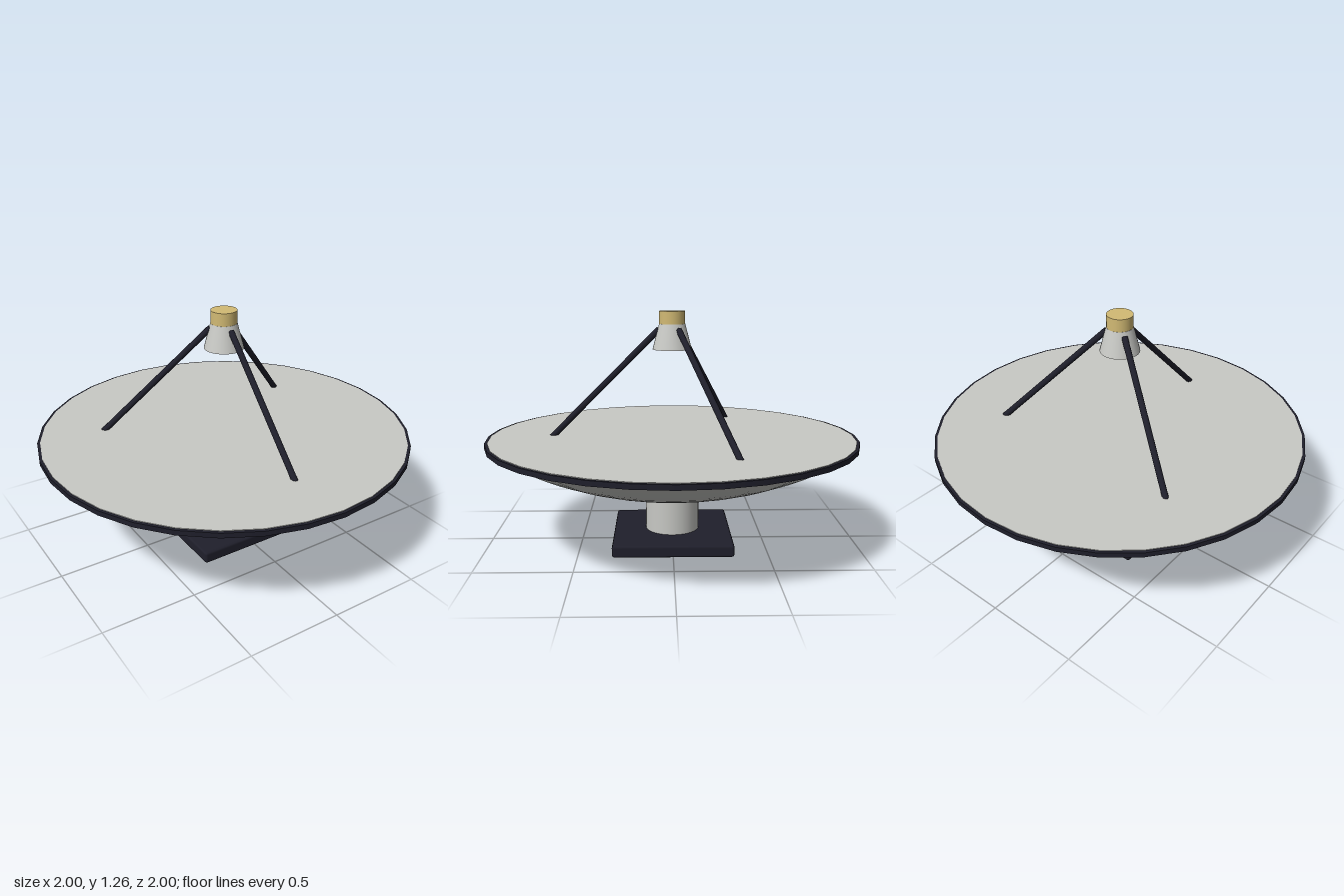
import * as THREE from 'three';
import { RoundedBoxGeometry } from 'three/addons/geometries/RoundedBoxGeometry.js';

const paint = (name, color, flatShading = false) =>
  Object.assign(new THREE.MeshStandardMaterial({ color, flatShading }), { name });

export function createModel() {
  const group = new THREE.Group();
  group.name = 'dishAntenna';
  const shell = paint('paleGrey', 0xc8c9c5);
  const dark = paint('darkNavy', 0x1f1f2b);
  const gold = paint('gold', 0xd2ba74);

  const add = (name, geometry, material, y = 0) => {
    const mesh = new THREE.Mesh(geometry, material);
    mesh.name = name;
    mesh.position.y = y;
    group.add(mesh);
    return mesh;
  };

  // Square base with small bevels, and the pedestal
  add('base', new RoundedBoxGeometry(0.64, 0.066, 0.64, 1, 0.014), dark, 0.033);
  add('pedestal', new THREE.CylinderGeometry(0.146, 0.146, 0.27, 32), shell, 0.185);

  // Dish underside: a shallow spherical bowl
  const rimY = 0.57, depth = 0.285, radius = 0.99;
  const R = (radius * radius + depth * depth) / (2 * depth);
  const bowl = [];
  for (let i = 0; i <= 14; i++) {
    const r = (radius * i) / 14;
    bowl.push(new THREE.Vector2(r, rimY - depth + R - Math.sqrt(R * R - r * r)));
  }
  add('dishBowl', new THREE.LatheGeometry(bowl, 32), shell);

  // Dark rim band and the flat face that closes the dish
  add('rim', new THREE.CylinderGeometry(1, 1, 0.026, 32), dark, 0.572);
  add('dishFace', new THREE.CylinderGeometry(0.985, 0.985, 0.004, 32), shell, 0.586);

  // Three struts, passing through the face and just piercing the bowl
  const up = new THREE.Vector3(0, 1, 0);
  for (let i = 0; i < 3; i++) {
    const a = Math.PI / 2 + 0.024 + (i * Math.PI * 2) / 3;
    const at = (r, y) => new THREE.Vector3(Math.cos(a) * r, y, Math.sin(a) * r);
    const foot = at(0.775, 0.46), head = at(0.07, 1.163);
    const dir = head.clone().sub(foot);
    const strut = add('strut', new THREE.CylinderGeometry(0.0165, 0.0165, dir.length(), 10), dark);
    strut.position.copy(foot).add(head).multiplyScalar(0.5);
    strut.quaternion.setFromUnitVectors(up, dir.normalize());
  }

  // Feed horn and its cap
  add('feedHorn', new THREE.CylinderGeometry(0.07, 0.105, 0.135, 32), shell, 1.1235);
  add('feedCap', new THREE.CylinderGeometry(0.069, 0.069, 0.068, 32), gold, 1.225);

  return group;
}
